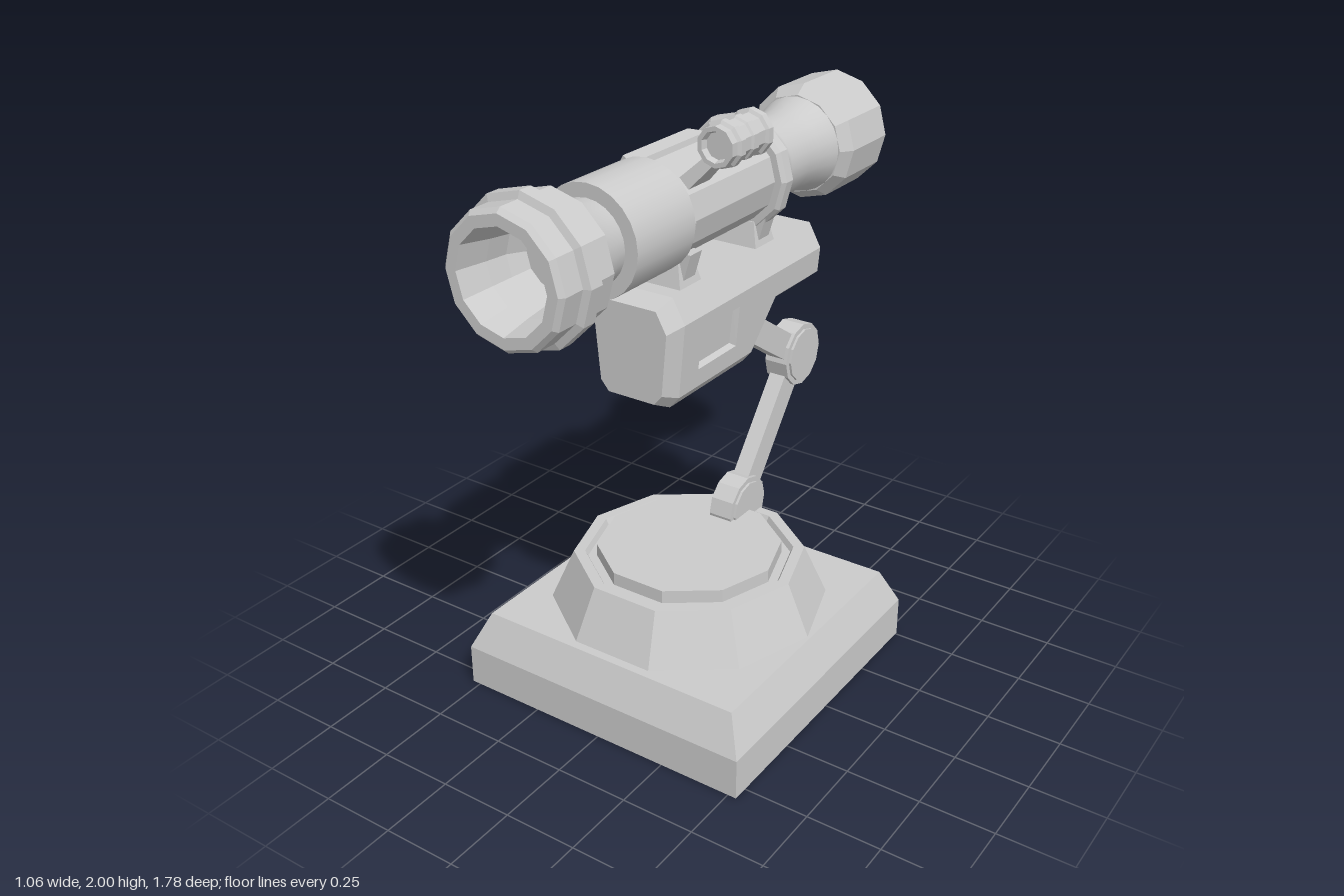
import * as THREE from 'three';

const flat = new THREE.MeshStandardMaterial({ color: 0xcccccc, flatShading: true });
const smooth = new THREE.MeshStandardMaterial({ color: 0xcccccc });
const AXIS_Y = 1.683; // height of the optical axis

export function createModel() {
  const model = new THREE.Group();

  function add(name, geometry, x = 0, y = 0, z = 0, material = flat) {
    const mesh = new THREE.Mesh(geometry, material);
    mesh.name = name;
    mesh.position.set(x, y, z);
    model.add(mesh);
    return mesh;
  }
  const lathe = (pts, sides, phase = 0) =>
    new THREE.LatheGeometry(pts.map(p => new THREE.Vector2(...p)), sides, phase);
  // Turned part along z, profile given as [radius, z] from back to front
  const turned = (pts, sides) => lathe(pts, sides).rotateX(Math.PI / 2);
  // Box whose top and bottom have different sizes
  function wedge(topX, topZ, botX, botZ, h) {
    const g = new THREE.BoxGeometry(1, h, 1);
    const p = g.attributes.position;
    for (let i = 0; i < p.count; i++) {
      const top = p.getY(i) > 0;
      p.setX(i, p.getX(i) * (top ? topX : botX));
      p.setZ(i, p.getZ(i) * (top ? topZ : botZ));
    }
    return g;
  }

  // Stepped pedestal
  const d = Math.SQRT2;
  add('baseBlock', lathe([[0, 0], [0.53 * d, 0], [0.53 * d, 0.14], [0.475 * d, 0.265], [0, 0.265]],
    4, Math.PI / 4), 0, 0, 0.022);
  add('turntable', lathe([[0.465, 0.265], [0.387, 0.44], [0.35, 0.44], [0.34, 0.42], [0.31, 0.42],
    [0.31, 0.465], [0, 0.465]], 10, Math.PI / 2), 0, 0, 0.025);

  // Jointed arm: [y, z, radius] of each pivot
  const pivots = [[0.475, -0.272, 0.11], [0.925, -0.622, 0.113], [1.19, -0.22, 0.1]];
  for (const [y, z, r] of pivots) {
    add('jointRim', new THREE.CylinderGeometry(r, r, 0.085, 12).rotateZ(Math.PI / 2), 0, y, z);
    add('jointCap', new THREE.CylinderGeometry(r * 0.84, r * 0.84, 0.102, 12).rotateZ(Math.PI / 2), 0, y, z);
  }
  for (let i = 0; i < 2; i++) {
    const [y0, z0] = pivots[i], [y1, z1] = pivots[i + 1];
    const bar = add('armBar', new THREE.BoxGeometry(0.06, Math.hypot(y1 - y0, z1 - z0), 0.092),
      0, (y0 + y1) / 2, (z0 + z1) / 2);
    bar.rotation.x = Math.atan2(z1 - z0, y1 - y0);
  }

  add('housing', housingGeometry());

  // Feet joining housing and tube
  for (const z of [0.163, -0.255]) {
    add('tubeFoot', wedge(0.16, 0.075, 0.21, 0.12, 0.1), 0, 1.49, z);
    add('tubeFootCore', wedge(0.24, 0.06, 0.18, 0.06, 0.1), 0, 1.515, z);
  }

  // Telescope tube, back to front
  const tube = (name, pts, sides = 12, material = flat) =>
    add(name, turned(pts, sides), 0, AXIS_Y, 0, material);
  tube('eyepiece', [[0, -0.84], [0.09, -0.84], [0.115, -0.89], [0.175, -0.89], [0.195, -0.865],
    [0.195, -0.645], [0.165, -0.605], [0.1, -0.605]]);
  tube('rearNeck', [[0.162, -0.615], [0.15, -0.575], [0.138, -0.525], [0.132, -0.47], [0.132, -0.36],
    [0.138, -0.335], [0.155, -0.305], [0.165, -0.27]], 24, smooth);
  tube('clampRing', [[0.14, -0.285], [0.175, -0.285], [0.187, -0.272], [0.187, -0.235],
    [0.175, -0.222], [0.14, -0.222]]);
  tube('mainTube', [[0.152, -0.23], [0.152, 0.25]]);
  tube('tubeCollar', [[0.15, 0.215], [0.162, 0.225], [0.162, 0.25]]);
  tube('sleeveBack', [[0.1, 0.243], [0.172, 0.243]], 24);
  tube('sleeve', [[0.172, 0.243], [0.172, 0.522]], 24, smooth);
  tube('sleeveFront', [[0.172, 0.522], [0.1, 0.522]], 24);
  tube('frontNeck', [[0.128, 0.515], [0.132, 0.55], [0.143, 0.6], [0.158, 0.65]], 24, smooth);
  tube('objective', [[0.12, 0.643], [0.16, 0.643], [0.204, 0.67], [0.204, 0.745], [0.226, 0.75],
    [0.226, 0.797], [0.204, 0.805], [0.204, 0.875], [0.19, 0.89], [0.155, 0.89],
    [0.135, 0.79], [0.125, 0.72], [0.095, 0.67], [0, 0.67]]);

  // Raised panel on the upper right flank of the tube
  const panel = new THREE.Group();
  panel.name = 'sidePanel';
  const plate = new THREE.Mesh(wedge(0.085, 0.34, 0.13, 0.415, 0.06), flat);
  plate.name = 'panelPlate';
  plate.position.y = 0.16;
  panel.add(plate);
  panel.position.set(0, AXIS_Y, -0.01);
  panel.rotation.z = Math.PI / 3;
  model.add(panel);

  // Finder scope on its stalk
  const stalk = add('finderStalk', wedge(0.03, 0.055, 0.045, 0.115, 0.19), 0.16, 1.84, 0.15);
  stalk.rotation.z = -Math.PI / 4;
  add('finderScope', turned([[0, 0.028], [0.042, 0.028], [0.056, 0.055], [0.07, 0.06], [0.07, 0.082],
    [0.06, 0.088], [0.06, 0.125], [0.066, 0.13], [0.066, 0.155], [0.06, 0.16], [0.06, 0.198],
    [0.07, 0.204], [0.07, 0.225], [0.06, 0.232], [0.06, 0.258], [0.046, 0.258],
    [0.04, 0.24], [0, 0.24]], 10), 0.245, 1.928, 0);

  return model;
}

// Housing lofted front to back, with a sunk panel in each flank
function housingGeometry() {
  const pos = [];
  const quad = (a, b, c, e) => pos.push(...a, ...b, ...c, ...a, ...c, ...e);
  const width = y => 0.13 + (y - 1.1) * 0.0926;
  // Each section: z, underside height, scale about the section centre
  const sections = [[0.335, 1.1, 0.84], [0.275, 1.1, 1], [0.18, 1.1, 1], [-0.03, 1.1, 1],
    [-0.13, 1.1, 1], [-0.25, 1.255, 1], [-0.515, 1.255, 1], [-0.54, 1.255, 0.85]];
  const rings = sections.map(([z, b, s]) => {
    const mid = (b + 1.46) / 2;
    const low = b + 0.04, panelLow = Math.max(1.2, b + 0.06);
    const side = [[0.1, b], [width(low), low], [width(panelLow), panelLow],
      [width(1.335), 1.335], [width(1.38), 1.38], [0.112, 1.46]];
    const ring = [...side, ...side.map(([x, y]) => [-x, y]).reverse()];
    return ring.map(([x, y]) => [x * s, mid + (y - mid) * s, z]);
  });
  const n = rings[0].length;
  for (let i = 0; i < rings.length - 1; i++) {
    for (let j = 0; j < n; j++) {
      const k = (j + 1) % n;
      const outer = [rings[i][j], rings[i + 1][j], rings[i + 1][k], rings[i][k]];
      if (i === 2 && (j === 2 || j === 8)) {
        const cy = 1.267, cz = 0.075;
        const inner = outer.map(([x, y, z]) =>
          [x - Math.sign(x) * 0.02, cy + (y - cy) * 0.88, cz + (z - cz) * 0.92]);
        for (let m = 0; m < 4; m++) quad(outer[m], outer[(m + 1) % 4], inner[(m + 1) % 4], inner[m]);
        quad(...inner);
      } else quad(...outer);
    }
  }
  // End caps
  const front = rings[0], back = rings[rings.length - 1];
  for (let j = 1; j < n - 1; j++) {
    pos.push(...front[0], ...front[j], ...front[j + 1]);
    pos.push(...back[0], ...back[j + 1], ...back[j]);
  }
  const g = new THREE.BufferGeometry();
  g.setAttribute('position', new THREE.Float32BufferAttribute(pos, 3));
  g.computeVertexNormals();
  return g;
}
